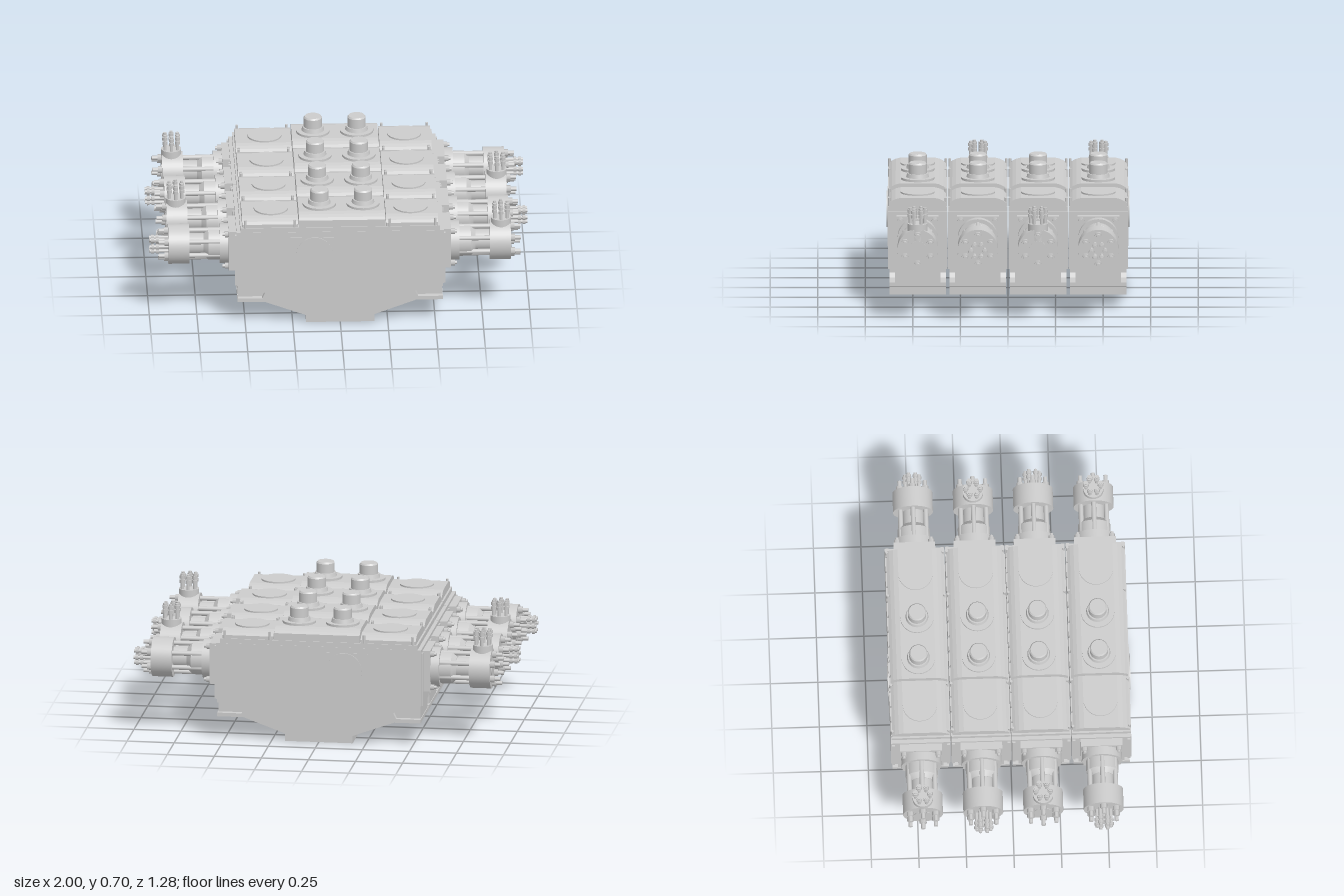
import * as THREE from 'three';

const grey = new THREE.MeshStandardMaterial({ color: 0xcccccc });
const AXIS_Y = 0.395; // height of the ram axes

function add(parent, name, geometry, x = 0, y = 0, z = 0) {
  const mesh = new THREE.Mesh(geometry, grey);
  mesh.name = name;
  mesh.position.set(x, y, z);
  parent.add(mesh);
  return mesh;
}

function box(parent, name, x0, x1, y0, y1, z0, z1) {
  return add(parent, name, new THREE.BoxGeometry(x1 - x0, y1 - y0, z1 - z0),
    (x0 + x1) / 2, (y0 + y1) / 2, (z0 + z1) / 2);
}

// Cylinder along y from y0 to y1
function post(parent, name, r, y0, y1, x = 0, z = 0, sides = 40, rTop = r) {
  const g = new THREE.CylinderGeometry(rTop, r, y1 - y0, sides);
  return add(parent, name, g, x, (y0 + y1) / 2, z);
}

// Cylinder along x from x0 to x1, centred on (y, z)
function rod(parent, name, r, x0, x1, y = 0, z = 0, sides = 40, rEnd = r) {
  const g = new THREE.CylinderGeometry(rEnd, r, x1 - x0, sides).rotateZ(-Math.PI / 2);
  return add(parent, name, g, (x0 + x1) / 2, y, z);
}

// Six positions on a ring
function ring(r, start, place) {
  for (let i = 0; i < 6; i++) {
    const a = start + i * Math.PI / 3;
    place(r * Math.sin(a), r * Math.cos(a));
  }
}

// Half outline (x, y), mirrored into a closed shape
function mirrored(points, Kind = THREE.Shape) {
  const left = points.map(([x, y]) => [-x, y]).reverse();
  return new Kind([...points, ...left].map(([x, y]) => new THREE.Vector2(x, y)));
}

function extrudeZ(shape, depth) {
  return new THREE.ExtrudeGeometry(shape, { depth, bevelEnabled: false }).translate(0, 0, -depth / 2);
}

// Hydraulic ram pointing to +x, with or without the upright port
function makeRam(withPort) {
  const ram = new THREE.Group();
  ram.name = withPort ? 'ramWithPort' : 'ram';
  box(ram, 'mountingPlate', 0.54, 0.585, -0.11, 0.11, -0.11, 0.11);
  rod(ram, 'flange', 0.105, 0.585, 0.63);
  for (const y of [-0.09, 0.09]) for (const z of [-0.09, 0.09]) {
    rod(ram, 'cornerNut', 0.016, 0.585, 0.605, y, z, 6);
    rod(ram, 'cornerStud', 0.009, 0.605, 0.617, y, z, 10);
  }
  rod(ram, 'collar', 0.085, 0.63, 0.69, 0, 0, 40);
  rod(ram, 'collarTaper', 0.085, 0.69, 0.715, 0, 0, 40, 0.06);
  rod(ram, 'barrel', 0.056, 0.7, 0.8);
  ring(0.077, Math.PI / 2, (y, z) => {
    rod(ram, 'tieRod', 0.013, 0.62, 0.8, y, z, 12);
    rod(ram, 'headNut', 0.019, 0.9, 0.922, y, z, 6);
    rod(ram, 'headStud', 0.011, 0.922, 0.952, y, z, 12);
  });
  rod(ram, 'head', 0.105, 0.79, 0.9);
  if (withPort) {
    rod(ram, 'endDisc', 0.045, 0.9, 0.904);
    post(ram, 'portBoss', 0.053, 0, 0.13, 0.85);
    ring(0.038, 0, (x, z) => {
      post(ram, 'portStud', 0.009, 0.13, 0.213, 0.85 + x, z, 10);
      post(ram, 'portNut', 0.015, 0.163, 0.18, 0.85 + x, z, 6);
      post(ram, 'portTopNut', 0.015, 0.187, 0.203, 0.85 + x, z, 6);
    });
  } else {
    ring(0.036, 0, (y, z) => {
      rod(ram, 'endStud', 0.009, 0.9, 1.0, y, z, 10);
      rod(ram, 'endNut', 0.015, 0.95, 0.965, y, z, 6);
      rod(ram, 'endTopNut', 0.015, 0.975, 0.99, y, z, 6);
    });
  }
  ram.position.y = AXIS_Y;
  return ram;
}

// Underside: a rim with side pockets and a recessed belly panel
function addBase(unit) {
  const belly = [[0.4, 0.12], [0.18, 0.04], [0.18, 0]];
  const rim = mirrored([[0.54, 0.215], [0.54, 0.195], [0.43, 0.195], [0.395, 0.17],
    [0.41, 0.14], [0.54, 0.14], [0.54, 0.12], ...belly]);
  rim.holes.push(mirrored([[0.365, 0.182], [0.385, 0.13], [0.168, 0.05], [0.168, 0.012]], THREE.Path));
  add(unit, 'baseRim', extrudeZ(rim, 0.297));
  const core = mirrored([[0.537, 0.214], [0.537, 0.122], [0.399, 0.122], [0.178, 0.042], [0.178, 0.002]]);
  add(unit, 'baseCore', extrudeZ(core, 0.24));
  const panel = mirrored([[0.38, 0.19], [0.395, 0.125], [0.175, 0.045], [0.175, 0.005]]);
  add(unit, 'bellyPanel', extrudeZ(panel, 0.285));
}

// Arched lid piece spanning x0 to x1
function addLid(unit, name, x0, x1, rise) {
  const s = mirrored([[0.15, 0.54], [0.15, 0.563 + rise], [0.135, 0.574 + rise],
    [0.115, 0.584 + rise], [0.09, 0.59 + rise]]);
  const g = extrudeZ(s, x1 - x0).rotateY(Math.PI / 2);
  add(unit, name, g, (x0 + x1) / 2);
}

function makeUnit(portSide) {
  const unit = new THREE.Group();
  unit.name = 'unit';
  addBase(unit);
  box(unit, 'body', -0.545, 0.545, 0.215, 0.52, -0.1565, 0.1565);
  box(unit, 'lidSeat', -0.525, 0.525, 0.52, 0.545, -0.155, 0.155);
  addLid(unit, 'lidRight', -0.515, -0.222, 0);
  addLid(unit, 'lidCentre', -0.217, 0.237, 0.02);
  addLid(unit, 'lidLeft', 0.242, 0.515, 0);

  // Lid bolts along the edges
  for (const x of [-0.5, -0.24, 0.26, 0.5]) for (const z of [-0.148, 0.148]) {
    post(unit, 'lidBolt', 0.007, 0.545, 0.588, x, z, 8);
  }
  // Covers and capped columns on top
  for (const x of [-0.36, 0.375]) post(unit, 'endCover', 0.09, 0.58, 0.598, x);
  for (const x of [-0.105, 0.125]) {
    post(unit, 'columnBase', 0.088, 0.6, 0.622, x);
    post(unit, 'columnCollar', 0.06, 0.622, 0.642, x, 0, 40, 0.055);
    post(unit, 'columnCap', 0.048, 0.642, 0.692, x);
    post(unit, 'columnCapTop', 0.048, 0.692, 0.7, x, 0, 40, 0.042);
  }
  // Edge strips at both ends, and the rams
  for (const side of [-1, 1]) {
    for (const z of [-0.145, 0.145]) {
      add(unit, 'endStrip', new THREE.BoxGeometry(0.01, 0.285, 0.016), side * 0.549, 0.36, z);
    }
    const ram = makeRam(side === portSide);
    if (side < 0) ram.rotation.y = Math.PI;
    unit.add(ram);
  }
  return unit;
}

export function createModel() {
  const model = new THREE.Group();
  model.name = 'ramBlock';
  [0.475, 0.158, -0.158, -0.475].forEach((z, i) => {
    const unit = makeUnit(i % 2 ? -1 : 1);
    unit.position.z = z;
    model.add(unit);
  });
  // Access plate and round cover on the outer faces
  for (const side of [-1, 1]) {
    add(model, 'accessPlate', new THREE.BoxGeometry(0.23, 0.272, 0.004), -0.147, 0.353, side * 0.632);
    const cover = new THREE.CylinderGeometry(0.095, 0.095, 0.012, 48).rotateX(Math.PI / 2);
    add(model, 'roundCover', cover, -0.135, AXIS_Y, side * 0.632);
  }
  return model;
}
